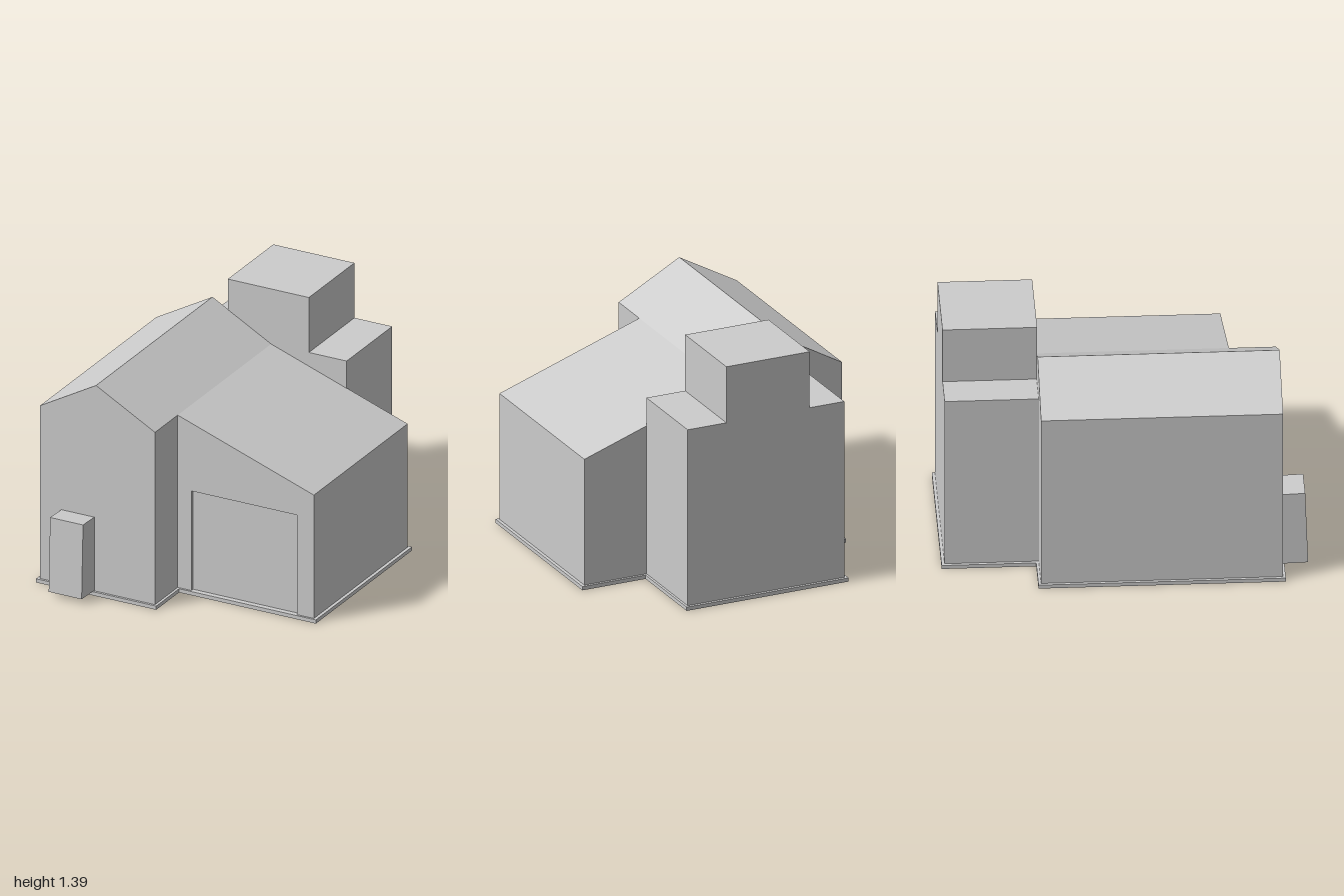
import * as THREE from 'three';

const material = new THREE.MeshStandardMaterial({ color: 0xcccccc, flatShading: true });
const FLOOR = 0.022;

function outline(points) {
  return new THREE.Shape(points.map(([x, y]) => new THREE.Vector2(x, y)));
}

function prism(points, depth) {
  return new THREE.ExtrudeGeometry(outline(points), { depth, bevelEnabled: false });
}

// Front-facing profile (x, y) extruded from z0 to z1
function block(name, points, z0, z1) {
  const mesh = new THREE.Mesh(prism(points, z1 - z0).translate(0, 0, z0), material);
  mesh.name = name;
  return mesh;
}

export function createModel() {
  const house = new THREE.Group();
  house.name = 'house';

  // Base slab: plan outline given as (x, -z), laid flat
  const slab = new THREE.Mesh(
    prism([
      [-0.8, -0.87], [-0.052, -0.87], [-0.052, -0.61], [0.8, -0.61], [0.8, 0.483],
      [0.417, 0.483], [0.417, 1], [-0.565, 1], [-0.565, 0.483], [-0.8, 0.483],
    ], FLOOR).rotateX(-Math.PI / 2),
    material,
  );
  slab.name = 'baseSlab';
  house.add(slab);

  // Gabled main hall
  house.add(block('mainHall', [
    [-0.783, FLOOR], [-0.067, FLOOR], [-0.067, 1.057], [-0.434, 1.258], [-0.783, 1.06],
  ], -0.468, 0.856));

  // Lean-to garage wing, with a thin front wall cut away for the recessed door
  const left = -0.067, right = 0.781, front = 0.598, recess = 0.02;
  const roofLine = [[right, 0.763], [left, 1.057]];
  house.add(block('garageWing',
    [[left, FLOOR], [right, FLOOR], ...roofLine], -0.468, front - recess));
  house.add(block('garageFrontWall', [
    [left, FLOOR], [0.018, FLOOR], [0.018, 0.62], [0.677, 0.62], [0.677, FLOOR],
    [right, FLOOR], ...roofLine,
  ], front - recess, front));

  // Stepped rear tower
  house.add(block('rearTower', [
    [-0.547, FLOOR], [0.403, FLOOR], [0.403, 1.058], [0.168, 1.058],
    [0.168, 1.388], [-0.337, 1.388], [-0.337, 1.058], [-0.547, 1.058],
  ], -0.983, -0.465));

  // Entrance box, tilted slightly back: side profile in (-z, y), turned to face forward
  const entrance = new THREE.Mesh(
    prism([[-1, 0.029], [-0.84, 0.024], [-0.84, 0.464], [-0.984, 0.469]], 0.205)
      .rotateY(Math.PI / 2).translate(-0.65, 0, 0),
    material,
  );
  entrance.name = 'entranceBox';
  house.add(entrance);

  return house;
}
